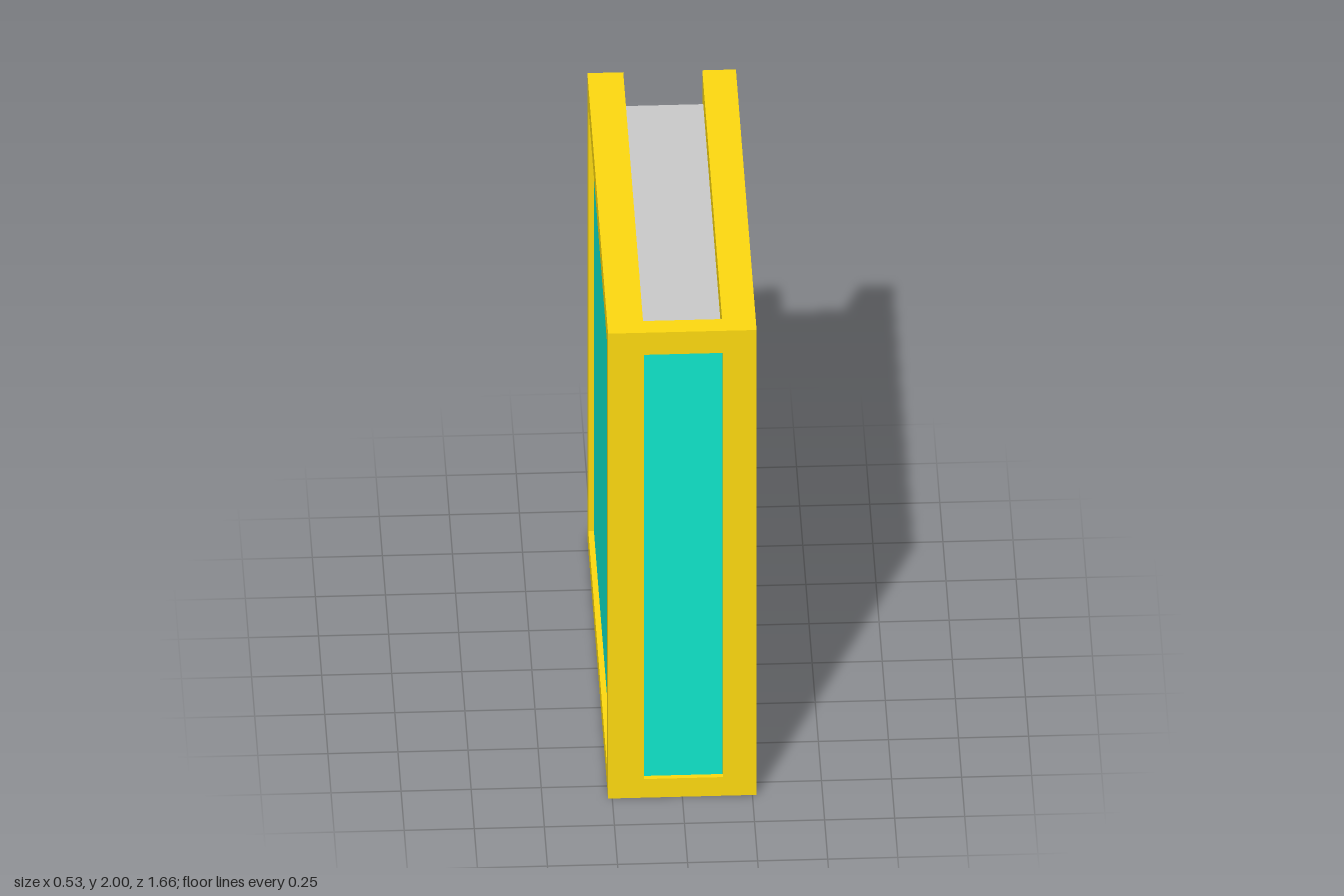
import * as THREE from 'three';

const H = 2, DEPTH = 1.66, X0 = -0.265, X1 = 0.265; // outer size
const IN0 = -0.137, IN1 = 0.145;                    // inner faces of the two covers
const B = 0.08, T = 1.905, RIM = 0.075;             // opening heights, rim width
const RECESS = 0.02;

const gold = new THREE.MeshStandardMaterial({ color: 0xffdb10 });
const teal = new THREE.MeshStandardMaterial({ color: 0x10e8cc });
const grey = new THREE.MeshStandardMaterial({ color: 0xcccccc });

// Box given by its two opposite corners
function block(name, material, [ax, ay, az], [bx, by, bz]) {
  const mesh = new THREE.Mesh(new THREE.BoxGeometry(bx - ax, by - ay, bz - az), material);
  mesh.position.set((ax + bx) / 2, (ay + by) / 2, (az + bz) / 2);
  mesh.name = name;
  return mesh;
}

function rect(path, x, y0, y1) {
  path.moveTo(-x, y0);
  path.lineTo(x, y0);
  path.lineTo(x, y1);
  path.lineTo(-x, y1);
  path.closePath();
  return path;
}

// Rectangular rim with an opening, spanning x from a to b
function coverFrame(name, a, b) {
  const shape = rect(new THREE.Shape(), DEPTH / 2, 0, H);
  shape.holes.push(rect(new THREE.Path(), DEPTH / 2 - RIM, B, T));
  const geometry = new THREE.ExtrudeGeometry(shape, { depth: b - a, bevelEnabled: false });
  geometry.rotateY(Math.PI / 2);
  const mesh = new THREE.Mesh(geometry, gold);
  mesh.position.x = a;
  mesh.name = name;
  return mesh;
}

export function createModel() {
  const book = new THREE.Group();
  book.name = 'book';
  const z1 = DEPTH / 2, zi = z1 - RIM;

  // Covers: gold rims with recessed panels
  book.add(
    coverFrame('rightCoverFrame', X0, IN0),
    coverFrame('leftCoverFrame', IN1, X1),
    block('rightCoverPanel', teal, [X0 + RECESS, B, -zi], [IN0, T, zi]),
    block('leftCoverPanel', teal, [IN1, B, -zi], [X1 - RECESS, T, zi])
  );

  // Spine: bars above and below a recessed panel
  book.add(
    block('spineBottomBar', gold, [IN0, 0, zi], [IN1, B, z1]),
    block('spineTopBar', gold, [IN0, T, zi], [IN1, H, z1]),
    block('spinePanel', teal, [IN0, B, zi], [IN1, T, z1 - RECESS])
  );

  // Pages
  book.add(block('pages', grey, [IN0, B, -zi], [IN1, T, zi]));
  return book;
}
